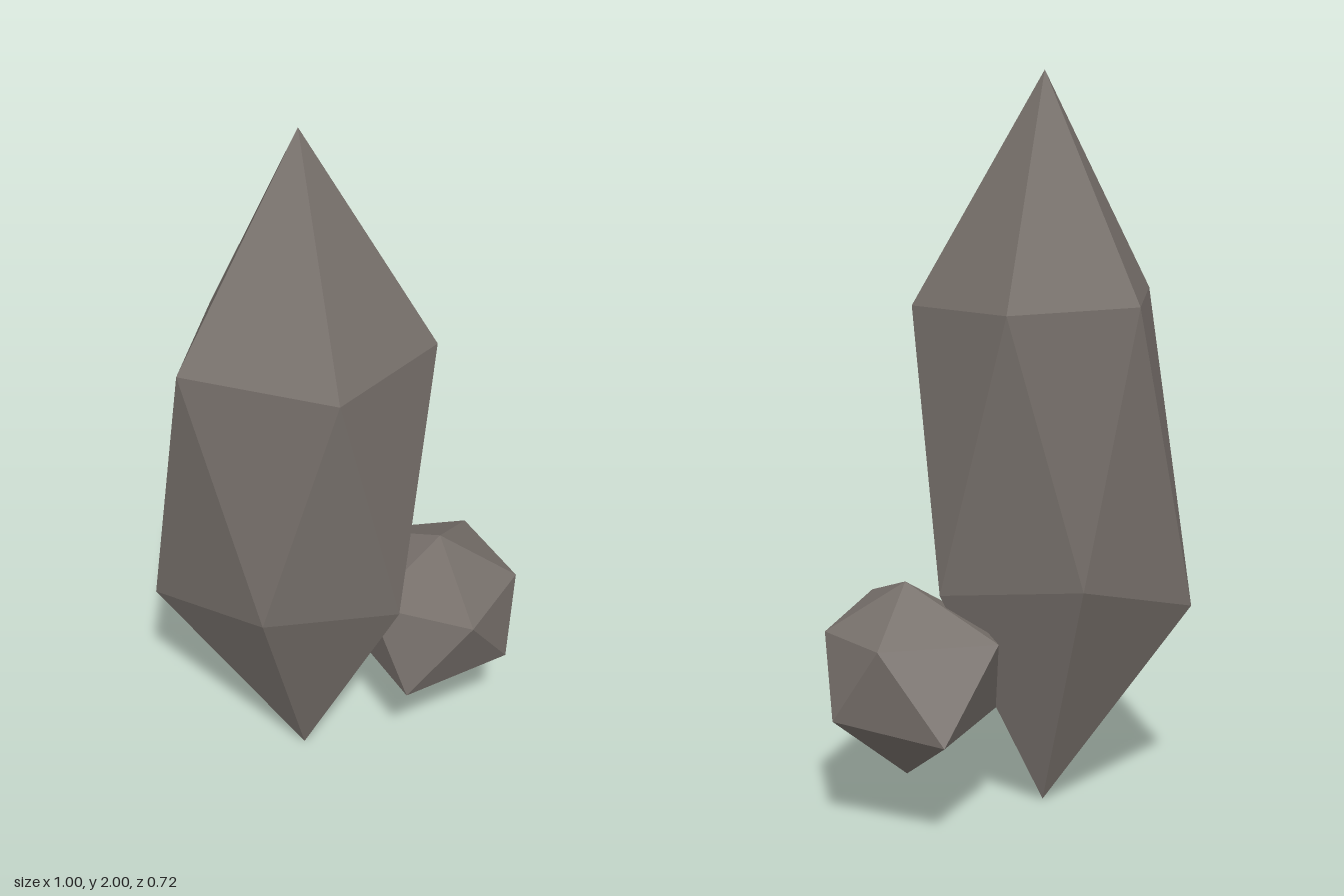
import * as THREE from 'three';

// Faceted stone: top point, two staggered rings of five, bottom point
function stone(name, material, top, upper, lower, bottom) {
  const pos = [];
  const face = (...corners) => corners.forEach((c) => pos.push(...c));
  for (let i = 0; i < 5; i++) {
    const j = (i + 1) % 5;
    face(top, upper[i], upper[j]);
    face(upper[i], lower[i], upper[j]);
    face(lower[i], lower[j], upper[j]);
    face(bottom, lower[j], lower[i]);
  }
  const geometry = new THREE.BufferGeometry();
  geometry.setAttribute('position', new THREE.Float32BufferAttribute(pos, 3));
  geometry.computeVertexNormals();
  const mesh = new THREE.Mesh(geometry, material);
  mesh.name = name;
  return mesh;
}

export function createModel() {
  const group = new THREE.Group();
  group.name = 'rocks';
  const rock = new THREE.MeshStandardMaterial({ color: 0x78716c, flatShading: true });
  rock.name = 'stone grey';

  // Tall standing rock
  group.add(stone('tallRock', rock,
    [-0.095, 2, 0.053],
    [[0.255, 1.385, 0.053], [0.02, 1.405, -0.26], [-0.335, 1.4, -0.105], [-0.395, 1.4, 0.245], [0.015, 1.395, 0.357]],
    [[0.19, 0.64, -0.13], [-0.185, 0.66, -0.195], [-0.5, 0.55, 0.053], [-0.19, 0.65, 0.315], [0.17, 0.625, 0.22]],
    [-0.095, 0, 0.053]));

  // Small rock leaning against its base
  group.add(stone('smallRock', rock,
    [0.28, 0.665, -0.073],
    [[0.495, 0.53, -0.073], [0.355, 0.54, -0.303], [0.04, 0.54, -0.25], [0.09, 0.52, 0.065], [0.37, 0.565, 0.208]],
    [[0.475, 0.325, -0.213], [0.185, 0.295, -0.358], [0.04, 0.31, -0.073], [0.195, 0.307, 0.19], [0.47, 0.34, 0.05]],
    [0.28, 0.127, -0.073]));

  return group;
}
